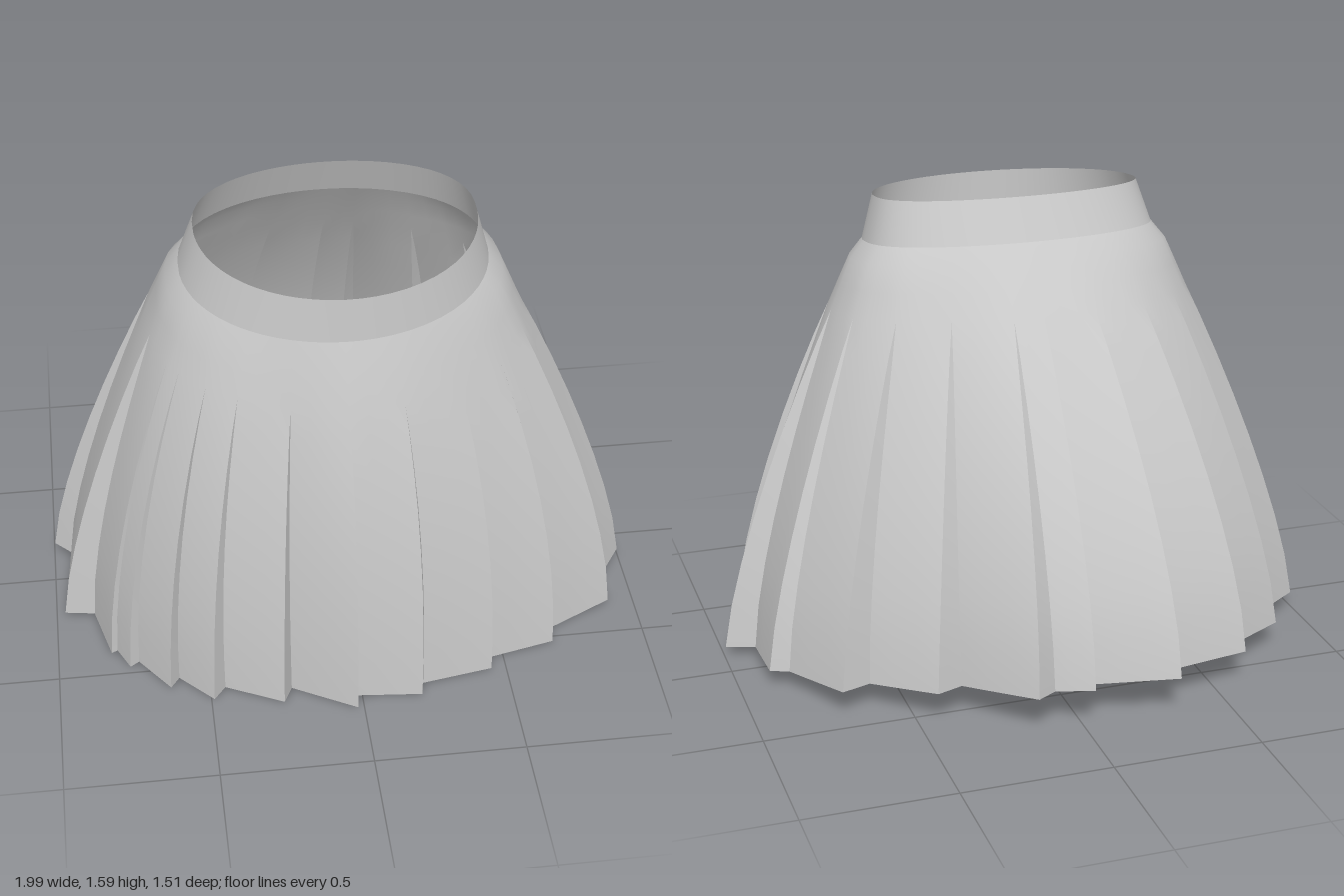
import * as THREE from 'three';
import { toCreasedNormals } from 'three/addons/utils/BufferGeometryUtils.js';

// Hem of each pleat seen from above: outer edge x, z, then tucked edge x, z
const PLEATS = [
  [-0.995, -0.13, -0.79, -0.29], [-0.82, -0.39, -0.60, -0.53], [-0.61, -0.61, -0.32, -0.67],
  [-0.32, -0.76, -0.04, -0.69], [-0.03, -0.75, 0.09, -0.70], [0.16, -0.75, 0.35, -0.53],
  [0.44, -0.57, 0.62, -0.39], [0.72, -0.43, 0.84, -0.18], [0.90, -0.15, 0.90, 0.08],
  [0.995, 0.12, 0.87, 0.30], [0.91, 0.36, 0.68, 0.47], [0.68, 0.53, 0.45, 0.58],
  [0.45, 0.63, 0.21, 0.67], [0.20, 0.72, -0.02, 0.70], [-0.02, 0.755, -0.23, 0.64],
  [-0.26, 0.70, -0.45, 0.61], [-0.49, 0.66, -0.60, 0.55], [-0.63, 0.59, -0.73, 0.46],
  [-0.76, 0.48, -0.80, 0.40], [-0.82, 0.41, -0.87, 0.22], [-0.97, 0.205, -0.94, -0.08],
];
const PANEL_STEPS = 3;
const ROWS = [0, 0.04, 0.1, 0.16, 0.24, 0.34, 0.45, 0.56, 0.67, 0.78, 0.89, 1];
const FOLD_START = 0.16;
const { lerp, clamp } = THREE.MathUtils;
const mix = (a, b, u) => [lerp(a[0], b[0], u), lerp(a[1], b[1], u)];

// Columns around the skirt: real hem point, unpleated hem point, angle at the waist
function makeColumns() {
  const n = PLEATS.length;
  const tip = i => PLEATS[i % n].slice(0, 2);
  const tuck = i => PLEATS[(i + n) % n].slice(2);
  const base = i => mix(tip(i), tuck(i - 1), 0.5);
  const columns = [];
  for (let i = 0; i < n; i++) {
    for (let k = 0; k <= PANEL_STEPS; k++) {
      const u = k / PANEL_STEPS;
      const smooth = mix(base(i), base((i + 1) % n), u);
      const phi = Math.atan2(smooth[0] / 0.98, smooth[1] / 0.75);
      columns.push({
        hem: mix(tip(i), tuck(i), u),
        smooth,
        phi,
        waist: phi + 0.14 * Math.sin(phi) * (1 + Math.cos(phi)) - 0.05 * (1 - Math.cos(phi)),
      });
    }
  }
  return columns;
}

// Depth of the waist oval, -1 to 1: round in front, flatter across the back
function ovalDepth(angle) {
  const c = Math.cos(angle);
  return c > 0 ? c : -Math.pow(-c, 0.8);
}

// Lower edge of the waistband, rising towards the back
function waistPoint(angle) {
  const d = ovalDepth(angle);
  const z = 0.17 + (d > 0 ? 0.385 : 0.325) * d;
  return new THREE.Vector3(-0.03 + 0.49 * Math.sin(angle), 1.36 + 0.14 * (0.555 - z), z);
}

function bandTopPoint(angle) {
  const d = ovalDepth(angle);
  const z = 0.175 + (d > 0 ? 0.375 : 0.275) * d;
  return new THREE.Vector3(-0.025 + 0.445 * Math.sin(angle), 1.512 + 0.13 * (0.55 - z), z);
}

// Skirt surface: flares in a convex curve, pleats opening below FOLD_START
function skirtPoint(column, t) {
  const p = waistPoint(column.waist);
  const c = Math.cos(column.phi);
  const curve = 1 - Math.pow(1 - t, 1.35 + (c > 0 ? 0.95 : 0.2) * c * c);
  // Small step out below the band at the hips
  const shoulder = 0.05 * (1 - c * c) * clamp(t / 0.04, 0, 1);
  const s = shoulder + (1 - shoulder) * curve;
  const open = Math.pow(clamp((t - FOLD_START) / (1 - FOLD_START), 0, 1), 0.8);
  const [hx, hz] = column.hem;
  const [bx, bz] = column.smooth;
  const rise = clamp((0.755 - lerp(bz, hz, open)) / 1.515, 0, 1);
  const hemY = 0.004 + 0.136 * Math.pow(rise, 1.6);
  return new THREE.Vector3(
    lerp(p.x, bx, s) + (hx - bx) * open,
    lerp(p.y, hemY, t),
    lerp(p.z, bz, s) + (hz - bz) * open,
  );
}

// Closed sheet through rings of points, skipping collapsed triangles
function sheet(rings, crease) {
  const positions = [];
  const area = new THREE.Triangle();
  const addTriangle = (a, b, c) => {
    if (area.set(a, b, c).getArea() < 1e-8) return;
    for (const v of [a, b, c]) positions.push(v.x, v.y, v.z);
  };
  for (let r = 0; r < rings.length - 1; r++) {
    const upper = rings[r], lower = rings[r + 1];
    for (let i = 0; i < upper.length; i++) {
      const j = (i + 1) % upper.length;
      addTriangle(upper[i], upper[j], lower[i]);
      addTriangle(upper[j], lower[j], lower[i]);
    }
  }
  const geometry = new THREE.BufferGeometry();
  geometry.setAttribute('position', new THREE.Float32BufferAttribute(positions, 3));
  return toCreasedNormals(geometry, crease);
}

export function createModel() {
  const group = new THREE.Group();
  group.name = 'pleatedSkirt';
  const cloth = new THREE.MeshStandardMaterial({ color: 0xcccccc, side: THREE.DoubleSide });
  const columns = makeColumns();

  // Pleated body
  const body = new THREE.Mesh(
    sheet(ROWS.map(t => columns.map(c => skirtPoint(c, t))), 0.5), cloth);
  body.name = 'pleatedBody';

  // Waistband
  const band = new THREE.Mesh(
    sheet([columns.map(c => bandTopPoint(c.waist)), columns.map(c => waistPoint(c.waist))], 0.6), cloth);
  band.name = 'waistband';

  group.add(body, band);
  return group;
}
